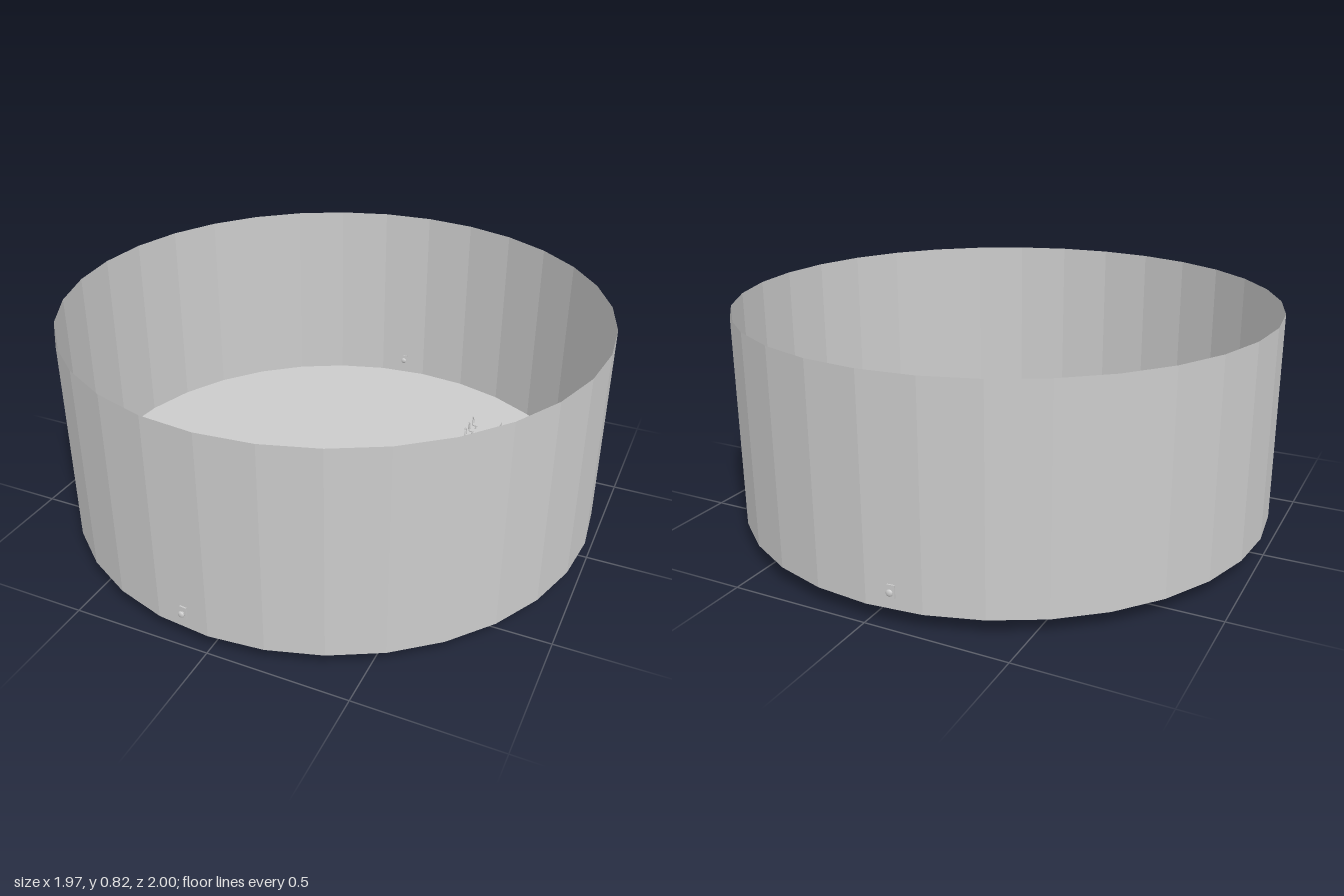
import * as THREE from 'three';

const grey = new THREE.MeshStandardMaterial({ color: 0xcccccc, side: THREE.DoubleSide });
const flat = new THREE.MeshStandardMaterial({ color: 0xcccccc, side: THREE.DoubleSide, flatShading: true });
const FLOOR = 0.06;
const RADIUS = 0.987;

function add(parent, name, geometry, x = 0, y = 0, z = 0, material = grey) {
  const mesh = new THREE.Mesh(geometry, material);
  mesh.name = name;
  mesh.position.set(x, y, z);
  parent.add(mesh);
  return mesh;
}

const lathe = (points, segments = 48) =>
  new THREE.LatheGeometry(points.map(([r, y]) => new THREE.Vector2(r, y)), segments);

// Small chair: oval seat, stem and a looped back on its outer side (+x)
function createChair() {
  const chair = new THREE.Group();
  chair.name = 'chair';
  add(chair, 'seat', new THREE.CylinderGeometry(0.012, 0.012, 0.005, 16), 0, 0.034, 0).scale.x = 1.4;
  add(chair, 'stem', new THREE.CylinderGeometry(0.003, 0.005, 0.034, 8), 0, 0.017, 0);
  const back = new THREE.CatmullRomCurve3([
    [0.012, 0.034, -0.009], [0.015, 0.058, -0.009], [0.016, 0.068, 0],
    [0.015, 0.058, 0.009], [0.012, 0.034, 0.009],
  ].map((p) => new THREE.Vector3(...p)));
  add(chair, 'backrest', new THREE.TubeGeometry(back, 16, 0.0022, 6));
  return chair;
}

// Table on two pedestals with three chairs along each long side
function createTable() {
  const table = new THREE.Group();
  table.name = 'table';
  add(table, 'tabletop', new THREE.BoxGeometry(0.083, 0.012, 0.16), 0, 0.051, 0);
  for (const z of [-0.045, 0.045]) {
    add(table, 'pedestal', new THREE.CylinderGeometry(0.006, 0.008, 0.052, 10), 0, 0.02, z);
  }
  for (const side of [1, -1]) {
    for (const z of [-0.05, 0, 0.05]) {
      const chair = createChair();
      chair.position.set(side * 0.062, 0, z);
      chair.rotation.y = side > 0 ? 0 : Math.PI;
      table.add(chair);
    }
  }
  return table;
}

// Round knob on a small plate, fitted to both faces of the wall
function createDoorHandle() {
  const handle = new THREE.Group();
  handle.name = 'doorHandle';
  add(handle, 'plate', new THREE.BoxGeometry(0.026, 0.045, 0.008));
  for (const side of [1, -1]) {
    add(handle, 'spindle', new THREE.CylinderGeometry(0.005, 0.005, 0.012, 10), 0, 0, side * 0.008)
      .rotation.x = Math.PI / 2;
    add(handle, 'knob', new THREE.SphereGeometry(0.012, 16, 10), 0, 0, side * 0.013).scale.z = 0.5;
  }
  return handle;
}

// Domed centrepiece whose shallow bowl shows below the floor
function createFountain() {
  const fountain = new THREE.Group();
  fountain.name = 'fountain';
  const bowl = [];
  for (let i = 0; i <= 12; i++) {
    const r = 0.155 * i / 12;
    bowl.push([r, 0.036 * (r / 0.155) ** 2]);
  }
  add(fountain, 'lowerBowl', lathe(bowl));
  add(fountain, 'basinRim', lathe([
    [0.155, 0.036], [0.19, 0.036], [0.22, 0.04], [0.235, 0.046], [0.237, 0.052],
    [0.23, 0.062], [0.21, 0.067], [0.185, 0.064], [0.16, 0.062],
  ]));
  const dome = [];
  for (let i = 0; i <= 14; i++) {
    const a = (i / 14) * Math.PI / 2;
    dome.push([0.165 * Math.cos(a), FLOOR + 0.1 * Math.sin(a)]);
  }
  add(fountain, 'dome', lathe(dome));
  for (let i = 0; i < 8; i++) {
    const a = i * Math.PI / 4;
    add(fountain, 'jet', new THREE.CylinderGeometry(0.007, 0.007, 0.025, 10),
      0.167 * Math.cos(a), 0.073, 0.167 * Math.sin(a));
  }
  for (let i = 0; i < 3; i++) {
    const a = i * Math.PI * 2 / 3;
    add(fountain, 'centreNozzle', new THREE.CylinderGeometry(0.008, 0.008, 0.025, 10),
      0.01 * Math.cos(a), 0.165, 0.01 * Math.sin(a));
  }
  return fountain;
}

export function createModel() {
  const model = new THREE.Group();
  model.name = 'roundRoom';

  // Open thin wall and floor disc
  add(model, 'wall', new THREE.CylinderGeometry(RADIUS, RADIUS, 0.76, 32, 1, true), 0, FLOOR + 0.38, 0, flat);
  add(model, 'floor', new THREE.CircleGeometry(RADIUS, 32), 0, FLOOR, 0, flat).rotation.x = -Math.PI / 2;

  model.add(createFountain());

  // Tables: x, z, turn in degrees
  const tables = [
    [0.45, -0.535, 0], [0.345, -0.25, -10], [0.66, -0.145, 17],
    [0.355, 0.235, 23], [0.64, 0.36, -12], [0.245, 0.645, -25],
  ];
  for (const [x, z, turn] of tables) {
    const table = createTable();
    table.position.set(x, FLOOR, z);
    table.rotation.y = THREE.MathUtils.degToRad(turn);
    model.add(table);
  }

  // Front and back door handles
  for (const side of [1, -1]) {
    const handle = createDoorHandle();
    handle.position.set(-0.09, 0.122, side * 0.979);
    handle.rotation.y = -side * 0.098;
    model.add(handle);
  }
  return model;
}
